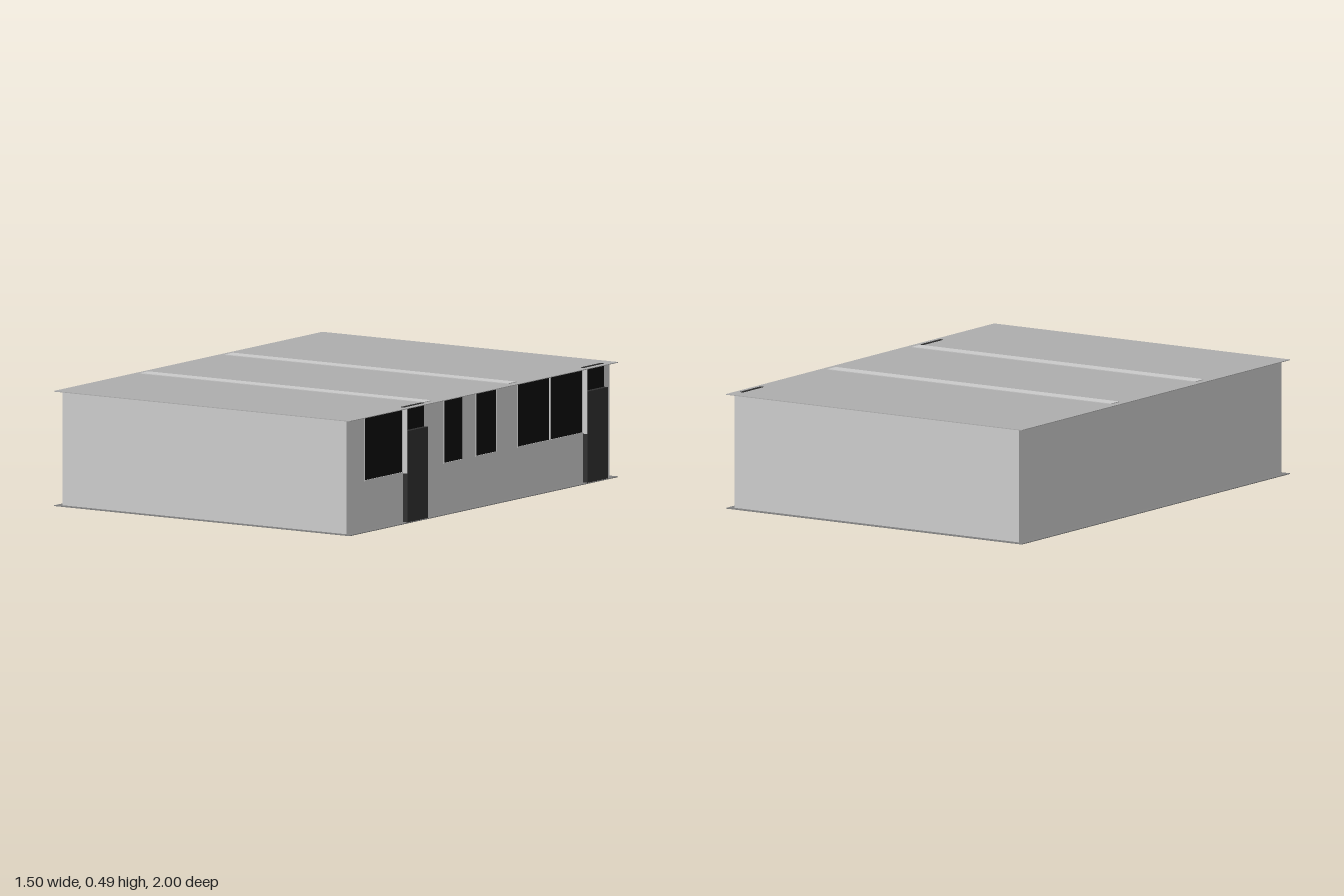
import * as THREE from 'three';

const H = 0.488, W = 0.72, D = 0.978, T = 0.03;

export function createModel() {
  const group = new THREE.Group();
  const mat = (color) => new THREE.MeshStandardMaterial({ color });
  const wallMat = mat(0xcccccc), roofMat = mat(0xaeaeae), floorMat = mat(0x808080);
  const glassMat = mat(0x0c0c0c), doorMat = mat(0x303030);

  // box given by its lower and upper bounds on each axis
  const box = (name, material, [x0, x1], [y0, y1], [z0, z1]) => {
    const m = new THREE.Mesh(new THREE.BoxGeometry(x1 - x0, y1 - y0, z1 - z0), material);
    m.position.set((x0 + x1) / 2, (y0 + y1) / 2, (z0 + z1) / 2);
    m.name = name;
    group.add(m);
  };

  // overhanging thin floor and roof
  box('floor', floorMat, [-0.75, 0.75], [0, 0.003], [-1, 1]);
  box('roof', roofMat, [-0.75, 0.75], [H - 0.003, H], [-1, 1]);

  // closed outer walls
  const full = [0.001, H - 0.001];
  box('frontWall', wallMat, [-W, W], full, [D - T, D]);
  box('backWall', wallMat, [-W, W], full, [-D, -D + T]);
  box('sideWall', wallMat, [-W, -W + T], full, [-D, D]);

  // inner partitions, their tops just showing through the roof
  for (const [z0, z1] of [[-0.29, -0.23], [0.34, 0.40]])
    box('partition', wallMat, [-W, 0.717], [0.001, 0.491], [z0, z1]);

  // facade: solid piers between the openings
  const piers = [[0.85, D], [0.26, 0.41], [0.02, 0.11], [-0.29, -0.14], [-D, -0.93]];
  for (const p of piers) box('facadePier', wallMat, [W - T, W], full, p);

  // windows above sill walls, each with a slim frame
  const sill = 0.21, f = 0.005;
  const windows = [[0.56, 0.85], [0.11, 0.26], [-0.14, 0.02], [-0.535, -0.29], [-0.78, -0.535]];
  for (const [z0, z1] of windows) {
    box('sillWall', wallMat, [W - T, W], [0.001, sill], [z0, z1]);
    box('windowGlass', glassMat, [W - 0.015, W], [sill + f, H - 0.004], [z0 + f, z1 - f]);
    box('windowSill', wallMat, [W - T, W + 0.003], [sill, sill + f], [z0, z1]);
    for (const z of [z0, z1 - f])
      box('windowJamb', wallMat, [W - T, W + 0.003], [sill, H - 0.004], [z, z + f]);
  }

  // doors standing proud of the wall, with a recessed transom and a jamb strip
  for (const [z0, z1] of [[0.41, 0.56], [-0.93, -0.78]]) {
    box('doorLeaf', doorMat, [W - 0.01, 0.745], [0.003, 0.39], [z0, z1]);
    box('doorTransom', glassMat, [0.71, 0.725], [0.39, H - 0.004], [z0, z1]);
    box('transomHead', doorMat, [0.71, 0.725], [H - 0.004, 0.49], [z0, z1]);
    box('doorJambStrip', wallMat, [W, 0.745], [sill, H - 0.004], [z1, z1 + 0.004]);
  }
  return group;
}
